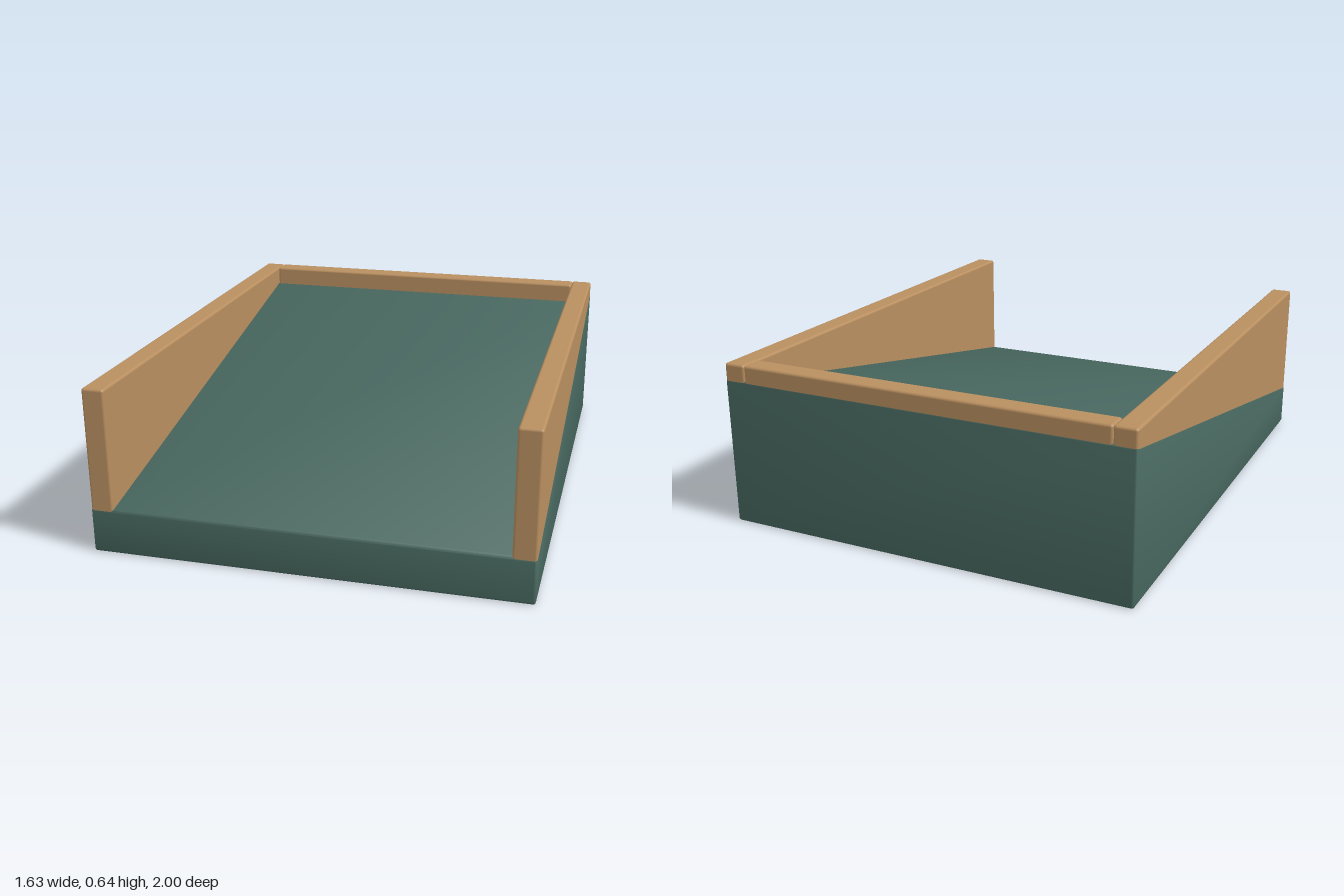
import * as THREE from 'three';
import { RoundedBoxGeometry } from 'three/addons/geometries/RoundedBoxGeometry.js';
import { toCreasedNormals } from 'three/addons/utils/BufferGeometryUtils.js';

const BEVEL = 0.01;
const INSET = 0.001; // keeps the boards just behind the base's outer faces

export function createModel() {
  const green = new THREE.MeshStandardMaterial({ name: 'dark green', color: 0x486860 });
  const wood = new THREE.MeshStandardMaterial({ name: 'light wood', color: 0xb98f60 });
  const group = new THREE.Group();
  group.name = 'slopedTray';

  // Softly bevelled box given by its minimum and maximum corners
  function roundedBox(min, max) {
    const [w, h, d] = max.map((v, i) => v - min[i]);
    return new RoundedBoxGeometry(w, h, d, 2, BEVEL)
      .translate(...max.map((v, i) => (v + min[i]) / 2));
  }
  function add(name, geometry, material) {
    const mesh = new THREE.Mesh(geometry, material);
    mesh.name = name;
    group.add(mesh);
  }

  // Base: the upper half of the box is sheared so the top climbs to the back
  const frontHeight = 0.172, backHeight = 0.575;
  const wedge = roundedBox([-0.815, 0, -1], [0.815, frontHeight, 1]);
  const p = wedge.attributes.position;
  for (let i = 0; i < p.count; i++) {
    if (p.getY(i) > frontHeight / 2) {
      p.setY(i, p.getY(i) + (backHeight - frontHeight) * (1 - p.getZ(i)) / 2);
    }
  }
  add('slopedBase', toCreasedNormals(wedge, 0.7), green);

  // Side boards, mirrored
  const bottom = 0.1, top = 0.637, inner = 0.728, outer = 0.815 - INSET, end = 1 - INSET;
  add('leftSideBoard', roundedBox([inner, bottom, -end], [outer, top, end]), wood);
  add('rightSideBoard', roundedBox([-outer, bottom, -end], [-inner, top, end]), wood);

  // Back board between the sides
  add('backBoard', roundedBox([-inner, bottom, -end], [inner, top, -0.912]), wood);

  return group;
}
